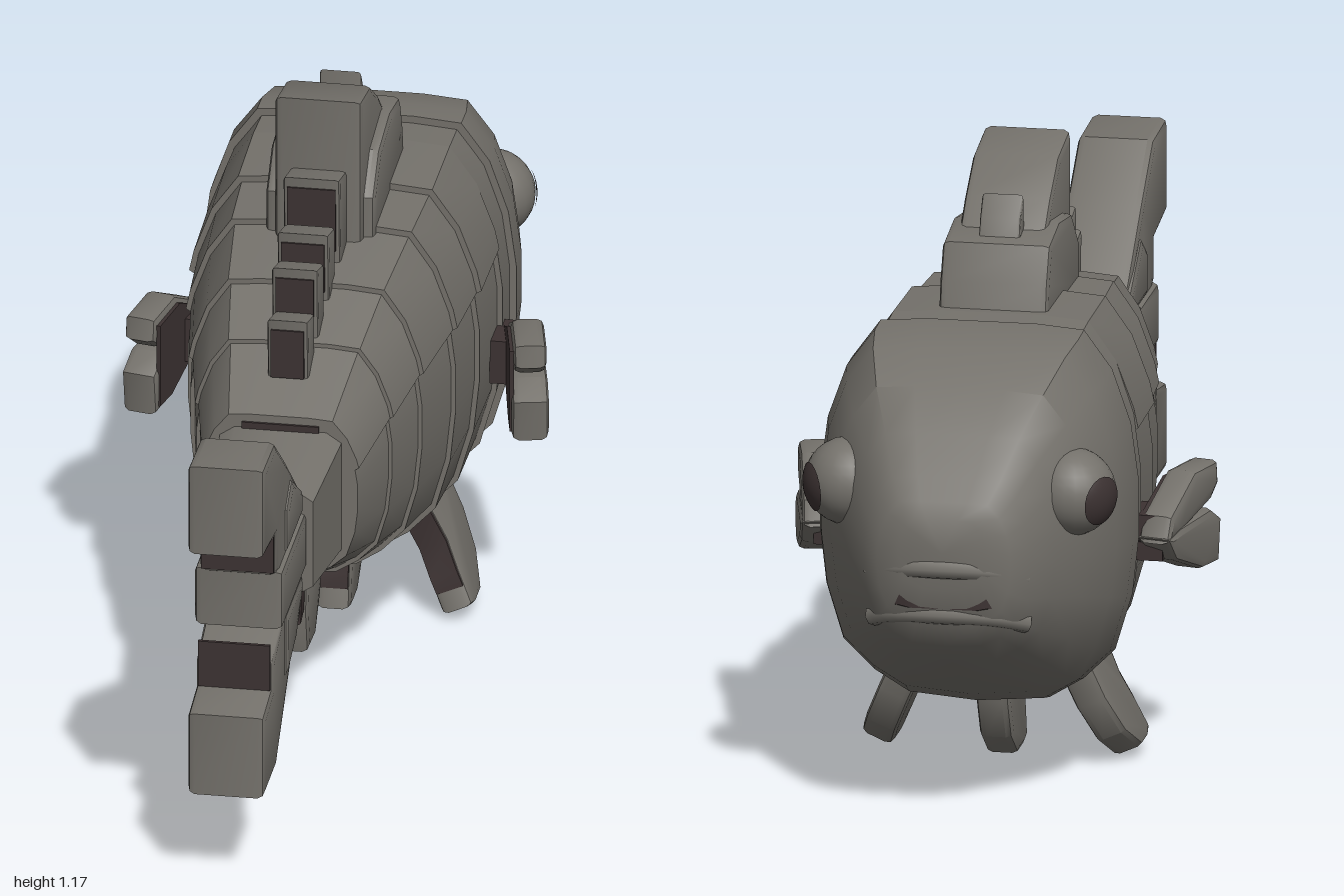
import * as THREE from 'three';
import { toCreasedNormals } from 'three/addons/utils/BufferGeometryUtils.js';

const stone = new THREE.MeshStandardMaterial({ color: 0x74716b });
stone.name = 'stone grey';
const dark = new THREE.MeshStandardMaterial({ color: 0x3c3232 });
dark.name = 'dark brown';

// Half cross-sections, top to bottom, in units of half width and half height
const bodyHalf = [[0, 1], [0.35, 1], [0.65, 0.98], [0.83, 0.78], [0.95, 0.5], [1, 0.2], [1, -0.1],
  [0.96, -0.4], [0.85, -0.7], [0.65, -0.86], [0.43, -0.97], [0, -1]];
const mantleHalf = [[0, 1], [0.35, 1], [0.65, 0.98], [0.83, 0.78], [0.95, 0.53], [0.98, 0.42], [0.9, 0.38], [0, 0.38]];
const boxHalf = [[0, 1], [0.75, 1], [1, 0.85], [1, -0.85], [0.75, -1], [0, -1]];

// Body profile: z, bottom, top, half width
const profile = [[0.36, 0.37, 0.7, 0.15], [0.2, 0.3, 0.78, 0.19], [0.06, 0.25, 0.84, 0.225],
  [-0.12, 0.2, 0.88, 0.26], [-0.28, 0.18, 0.895, 0.28], [-0.47, 0.165, 0.91, 0.293], [-0.62, 0.18, 0.912, 0.302]];

function mesh(name, geometry, material) {
  const m = new THREE.Mesh(geometry, material);
  m.name = name;
  return m;
}

// Closed skin through sections ordered from tail to head
function loft(sections, half) {
  const ring = [...half, ...half.slice(1, -1).reverse().map(([x, y]) => [-x, y])];
  const n = ring.length, pos = [], idx = [];
  for (const [z, bottom, top, w] of sections)
    for (const [x, y] of ring) pos.push(x * w, (top + bottom) / 2 + y * (top - bottom) / 2, z);
  for (let k = 0; k < sections.length - 1; k++)
    for (let i = 0; i < n; i++) {
      const j = (i + 1) % n, a = k * n + i, b = k * n + j;
      idx.push(a, b, b + n, a, b + n, a + n);
    }
  const meanY = ring.reduce((s, p) => s + p[1], 0) / n;
  [0, sections.length - 1].forEach((k, end) => {
    const [z, bottom, top] = sections[k], c = pos.length / 3;
    pos.push(0, (top + bottom) / 2 + meanY * (top - bottom) / 2, z);
    for (let i = 0; i < n; i++) {
      const a = k * n + i, b = k * n + (i + 1) % n;
      if (end) idx.push(c, a, b); else idx.push(c, b, a);
    }
  });
  const g = new THREE.BufferGeometry();
  g.setAttribute('position', new THREE.Float32BufferAttribute(pos, 3));
  g.setIndex(idx);
  return toCreasedNormals(g, 0.65);
}

// Slab with an outline given as z, y pairs, centred on x
function slab(points, halfWidth, bevel = 0.014) {
  const shape = new THREE.Shape(points.map(([z, y]) => new THREE.Vector2(z, y)));
  const g = new THREE.ExtrudeGeometry(shape, {
    depth: 2 * (halfWidth - bevel), bevelEnabled: bevel > 0, bevelSize: bevel,
    bevelThickness: bevel, bevelOffset: -bevel, bevelSegments: 2 });
  g.translate(0, 0, -(halfWidth - bevel));
  g.rotateY(-Math.PI / 2);
  return toCreasedNormals(g, 0.6);
}

function box(name, w, y0, y1, z0, z1, material) {
  const g = new THREE.BoxGeometry(2 * w, y1 - y0, z1 - z0);
  g.translate(0, (y0 + y1) / 2, (z0 + z1) / 2);
  return mesh(name, g, material);
}

function grow([z, bottom, top, w], s) {
  const c = (top + bottom) / 2, h = (top - bottom) / 2 * s;
  return [z, c - h, c + h, w * s];
}

export function createModel() {
  const fish = new THREE.Group();
  fish.name = 'fish';

  // Overlapping body rings and the raised back scales
  for (let i = 0; i < profile.length - 1; i++) {
    const rear = profile[i], front = profile[i + 1];
    fish.add(mesh('bodyRing', loft([rear, grow(front, 0.965)], bodyHalf), stone));
    if (i < 5) fish.add(mesh('backScale', loft([grow(rear, 1.035), grow(front, 1.0)], mantleHalf), stone));
  }
  fish.add(mesh('tailStem', loft([[0.58, 0.44, 0.65, 0.1], [0.34, 0.41, 0.68, 0.12]], boxHalf), stone));
  fish.add(box('tailStemShade', 0.075, 0.675, 0.69, 0.358, 0.365, dark));

  // Head and mouth
  fish.add(mesh('head', loft([[-0.56, 0.165, 0.918, 0.305], [-0.62, 0.18, 0.915, 0.305], [-0.7, 0.215, 0.9, 0.288],
    [-0.8, 0.275, 0.85, 0.25], [-0.88, 0.33, 0.78, 0.2], [-0.94, 0.375, 0.71, 0.16],
    [-0.97, 0.42, 0.67, 0.13], [-0.99, 0.5, 0.64, 0.085]], bodyHalf), stone));
  fish.add(mesh('mouth', loft([[-0.9, 0.455, 0.525, 0.15], [-0.95, 0.455, 0.525, 0.135], [-0.98, 0.46, 0.525, 0.085]], boxHalf), dark));
  for (const [name, y, z] of [['upperLip', 0.54, -0.982], ['lowerLip', 0.445, -0.965]]) {
    const lip = new THREE.CatmullRomCurve3([[-0.15, -0.025, 0.06], [-0.09, -0.005, 0.015], [0, 0, 0],
      [0.09, -0.005, 0.015], [0.15, -0.025, 0.06]].map(([x, dy, dz]) => new THREE.Vector3(x, y + dy, z + dz)));
    fish.add(mesh(name, new THREE.TubeGeometry(lip, 16, 0.02, 8), stone));
  }

  // Dorsal fin: stepped main blade followed by small spines with dark rear faces
  fish.add(mesh('dorsalFin', slab([[-0.08, 0.86], [-0.08, 1.17], [-0.2, 1.15], [-0.29, 1.09], [-0.38, 1.01],
    [-0.43, 0.95], [-0.46, 0.86]], 0.085), stone));
  fish.add(mesh('dorsalBase', slab([[-0.1, 0.86], [-0.1, 0.96], [-0.17, 1.03], [-0.3, 1.05], [-0.41, 1.03],
    [-0.44, 0.96], [-0.46, 0.86]], 0.106), stone));
  fish.add(mesh('dorsalBarb', slab([[-0.33, 1.03], [-0.34, 1.11], [-0.37, 1.07], [-0.39, 1.0]], 0.04, 0.006), stone));
  for (const [z0, z1, y0, y1, w] of [[-0.09, 0, 0.84, 1.04, 0.055], [0.02, 0.1, 0.8, 0.97, 0.05],
    [0.12, 0.195, 0.75, 0.94, 0.045], [0.2, 0.28, 0.7, 0.87, 0.04]]) {
    fish.add(mesh('dorsalSpine', slab([[z0, y0], [z1 - 0.01, y0], [z1, y1], [z0, y1 - 0.02]], w, 0.008), stone));
    fish.add(box('spineShade', w - 0.008, y0 + 0.05, y1 - 0.02, z1 - 0.005, z1 + 0.003, dark));
  }

  // Tail fin with two lobes and a middle bar
  fish.add(mesh('tailFin', slab([[0.56, 0.46], [0.7, 0.33], [0.86, 0.2], [1, 0.2], [1, 0.37], [0.9, 0.385], [0.9, 0.44],
    [0.78, 0.48], [0.84, 0.49], [0.84, 0.6], [0.86, 0.61], [0.86, 0.69], [1, 0.71], [1, 0.895], [0.86, 0.89],
    [0.73, 0.79], [0.56, 0.65]], 0.075), stone));
  fish.add(mesh('tailBar', slab([[0.57, 0.49], [0.85, 0.49], [0.85, 0.61], [0.57, 0.61]], 0.087), stone));
  fish.add(mesh('tailStepUpper', slab([[0.58, 0.61], [0.76, 0.61], [0.76, 0.7], [0.7, 0.74], [0.58, 0.66]], 0.082), stone));
  fish.add(mesh('tailStepLower', slab([[0.58, 0.45], [0.66, 0.38], [0.77, 0.35], [0.77, 0.48], [0.58, 0.48]], 0.082), stone));
  fish.add(box('tailShadeUpper', 0.07, 0.615, 0.695, 0.859, 0.866, dark));
  fish.add(box('tailShadeLower', 0.07, 0.385, 0.48, 0.899, 0.906, dark));

  // Anal fin
  fish.add(mesh('analFin', slab([[0.28, 0.38], [0.3, 0.26], [0.28, 0.17], [0.2, 0.165], [0.14, 0.23], [0.1, 0.34]], 0.042), stone));
  fish.add(mesh('analSpine', slab([[0.34, 0.4], [0.33, 0.25], [0.28, 0.27], [0.26, 0.4]], 0.035, 0.006), dark));

  // Pelvic fins: one on each side and one in the middle
  const pelvic = slab([[0.05, 0.08], [0.03, -0.06], [0.05, -0.12], [0.065, -0.19], [0.03, -0.2], [-0.03, -0.2], [-0.1, -0.15],
    [-0.14, -0.07], [-0.15, 0.08]], 0.033);
  const pelvicShade = slab([[0.054, 0.06], [0.035, -0.06], [0.054, -0.12], [0.058, -0.15], [0.05, -0.15],
    [0.046, -0.12], [0.028, -0.06], [0.046, 0.06]], 0.028, 0);
  for (const s of [-1, 0, 1]) {
    const fin = new THREE.Group();
    fin.name = s ? 'pelvicFin' : 'middlePelvicFin';
    fin.add(mesh('pelvicBlade', pelvic, stone), mesh('pelvicShade', pelvicShade, dark));
    fin.position.set(s * 0.165, 0.2, -0.315);
    fin.rotation.z = s * 0.42;
    fish.add(fin);
  }

  // Pectoral fins and eyes
  for (const s of [-1, 1]) {
    const fin = new THREE.Group();
    fin.name = s > 0 ? 'leftPectoralFin' : 'rightPectoralFin';
    fin.add(mesh('pectoralUpper', slab([[0, 0.48], [0.02, 0.53], [0.14, 0.59], [0.25, 0.585], [0.255, 0.54],
      [0.22, 0.515], [0.06, 0.485]], 0.032), stone));
    fin.add(mesh('pectoralLower', slab([[0, 0.49], [0.04, 0.44], [0.17, 0.39], [0.25, 0.385], [0.26, 0.47],
      [0.21, 0.5], [0.06, 0.5]], 0.036), stone));
    const inner = mesh('pectoralInner', slab([[0.01, 0.48], [0.04, 0.45], [0.18, 0.4], [0.24, 0.4], [0.24, 0.57],
      [0.14, 0.575], [0.03, 0.525]], 0.004, 0), dark);
    inner.position.x = -s * 0.035;
    fin.add(inner);
    fin.position.set(s * 0.325, 0, -0.52);
    fin.rotation.y = s * 0.22;
    fish.add(fin);
    const root = box('pectoralRoot', 0.03, 0.44, 0.53, -0.5, -0.4, dark);
    root.position.x = s * 0.31;
    fish.add(root);

    const eye = new THREE.Group();
    eye.name = s > 0 ? 'leftEye' : 'rightEye';
    eye.add(mesh('eyeball', new THREE.SphereGeometry(0.085, 24, 16), stone));
    const pupil = mesh('pupil', new THREE.SphereGeometry(0.088, 20, 6, 0, Math.PI * 2, 0, 0.58), dark);
    pupil.quaternion.setFromUnitVectors(new THREE.Vector3(0, 1, 0), new THREE.Vector3(s * 0.86, -0.08, -0.5).normalize());
    eye.add(pupil);
    eye.position.set(s * 0.218, 0.655, -0.795);
    fish.add(eye);
  }
  return fish;
}
